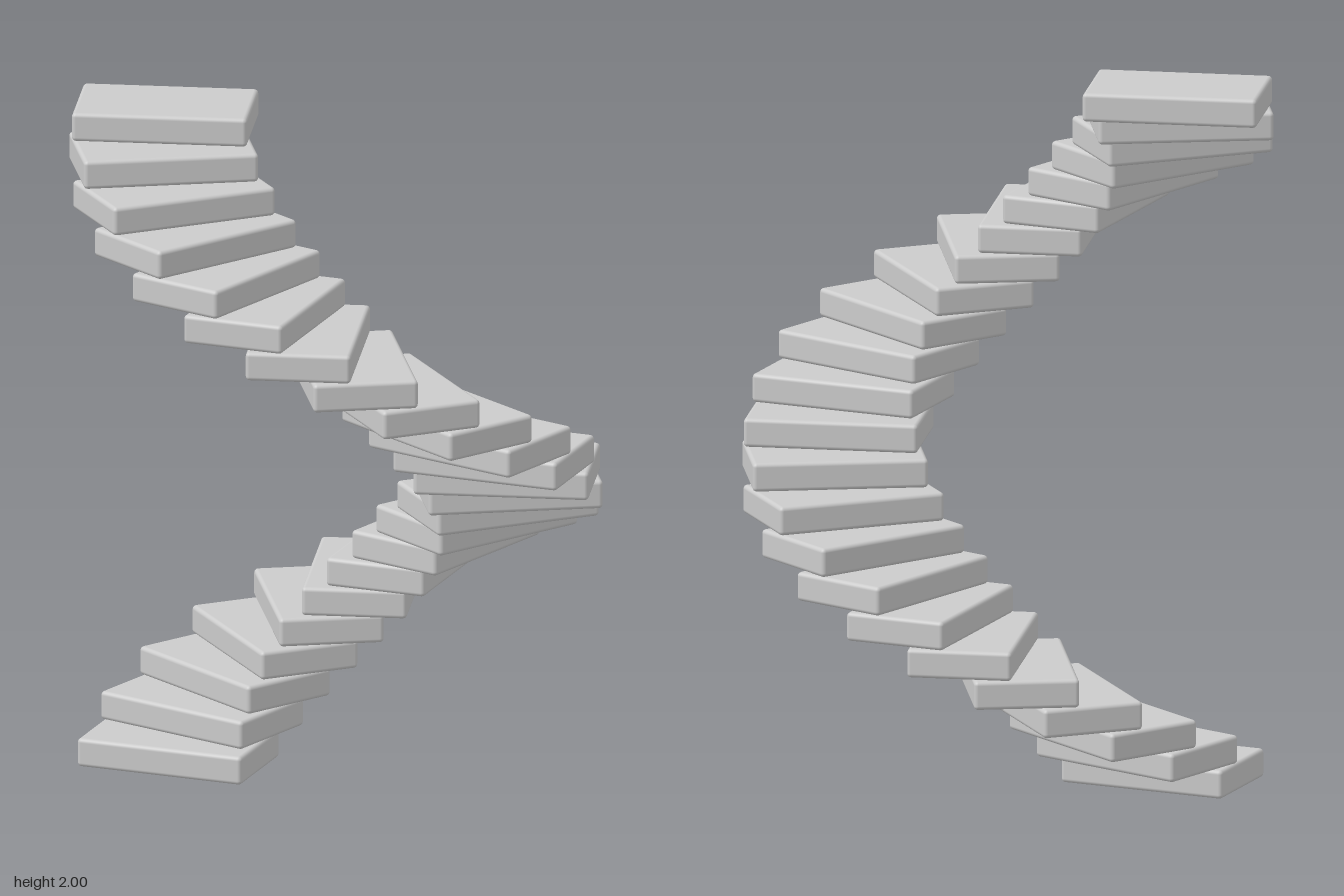
import * as THREE from 'three';
import { RoundedBoxGeometry } from 'three/addons/geometries/RoundedBoxGeometry.js';

const STEPS = 24;
const HEIGHT = 2;
const RISE = HEIGHT / STEPS;
const TURN = THREE.MathUtils.degToRad(15);
const INNER = 0.24, OUTER = 0.74; // radial reach of a tread
const WIDTH = 0.3, SHIFT = 0.024; // tangential size and offset of a tread

export function createModel() {
  const group = new THREE.Group();
  group.name = 'spiralStaircase';
  const material = new THREE.MeshStandardMaterial({ color: 0xcccccc });

  // One softly bevelled tread, pushed out from the central axis
  const tread = new RoundedBoxGeometry(OUTER - INNER, RISE, WIDTH, 3, 0.012);
  tread.translate((INNER + OUTER) / 2, RISE / 2, SHIFT);

  // A full turn of stacked treads, starting just short of the -x side
  for (let i = 0; i < STEPS; i++) {
    const step = new THREE.Mesh(tread, material);
    step.name = `step${i + 1}`;
    step.position.y = i * RISE;
    step.rotation.y = -(i - 13) * TURN;
    group.add(step);
  }
  return group;
}
